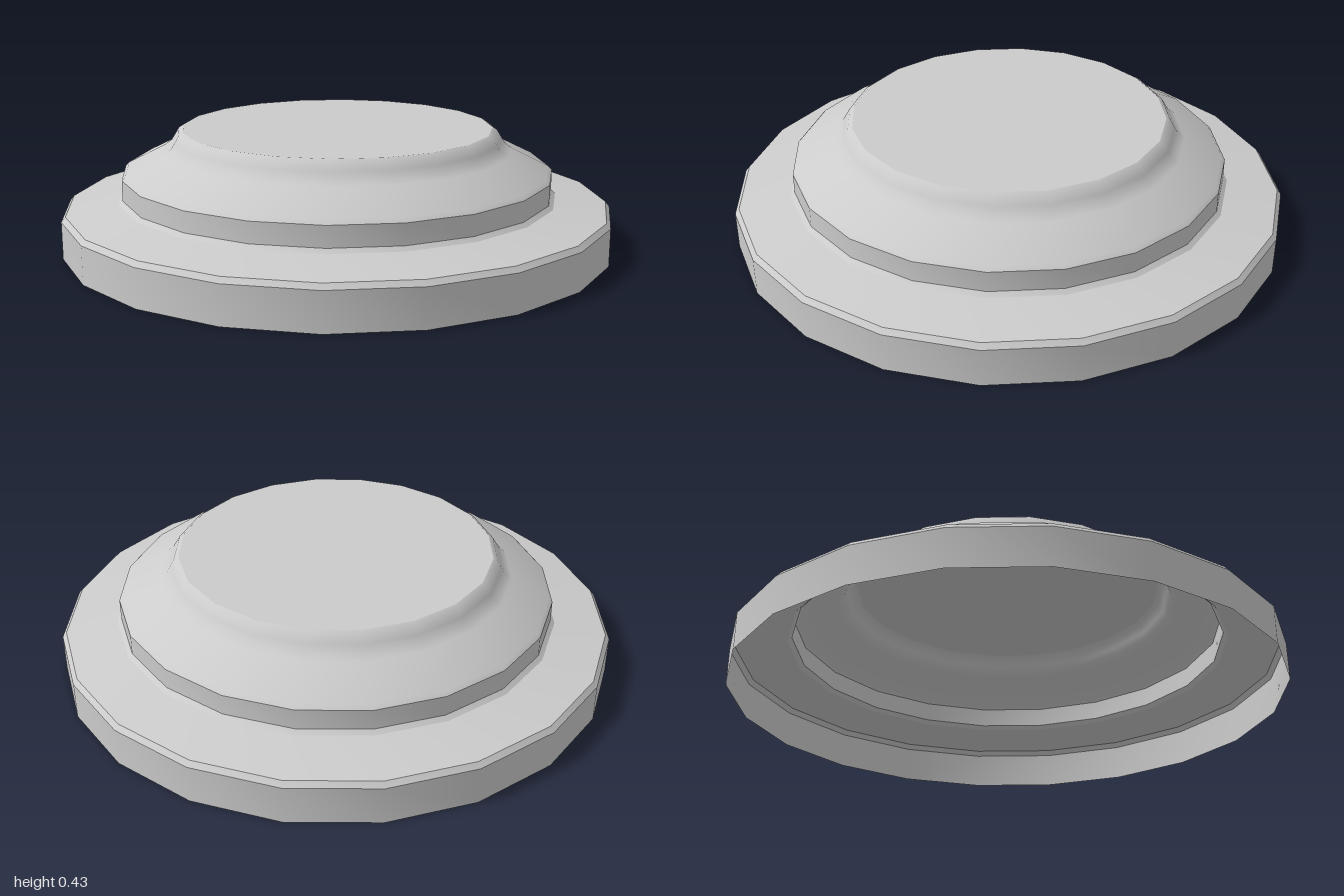
import * as THREE from 'three';
import { toCreasedNormals } from 'three/addons/utils/BufferGeometryUtils.js';

const SIDES = 20;

export function createModel() {
  const model = new THREE.Group();
  const material = new THREE.MeshStandardMaterial({ color: 0xcccccc, side: THREE.DoubleSide });

  // Revolve a profile of [radius, height] pairs, listed from bottom to top
  const ring = (name, profile) => {
    const points = profile.map(([r, y]) => new THREE.Vector2(r, y));
    const geometry = toCreasedNormals(new THREE.LatheGeometry(points, SIDES), 0.6);
    const mesh = new THREE.Mesh(geometry, material);
    mesh.name = name;
    model.add(mesh);
  };

  // Wide flange: open below, chamfered rim and gently sloping top
  ring('baseFlange', [[1, 0], [1, 0.135], [0.985, 0.153], [0.8, 0.183]]);

  // Raised collar with a sloping shoulder and a short neck
  ring('raisedCollar', [
    [0.8, 0.183], [0.785, 0.197], [0.785, 0.27], [0.772, 0.284],
    [0.635, 0.352], [0.61, 0.371], [0.597, 0.392],
    [0.582, 0.417], [0.565, 0.428],
  ]);

  // Flat lid closing the neck
  const lid = new THREE.Mesh(new THREE.CircleGeometry(0.565, SIDES), material);
  lid.name = 'topLid';
  lid.rotation.x = -Math.PI / 2;
  lid.position.y = 0.428;
  model.add(lid);

  return model;
}
